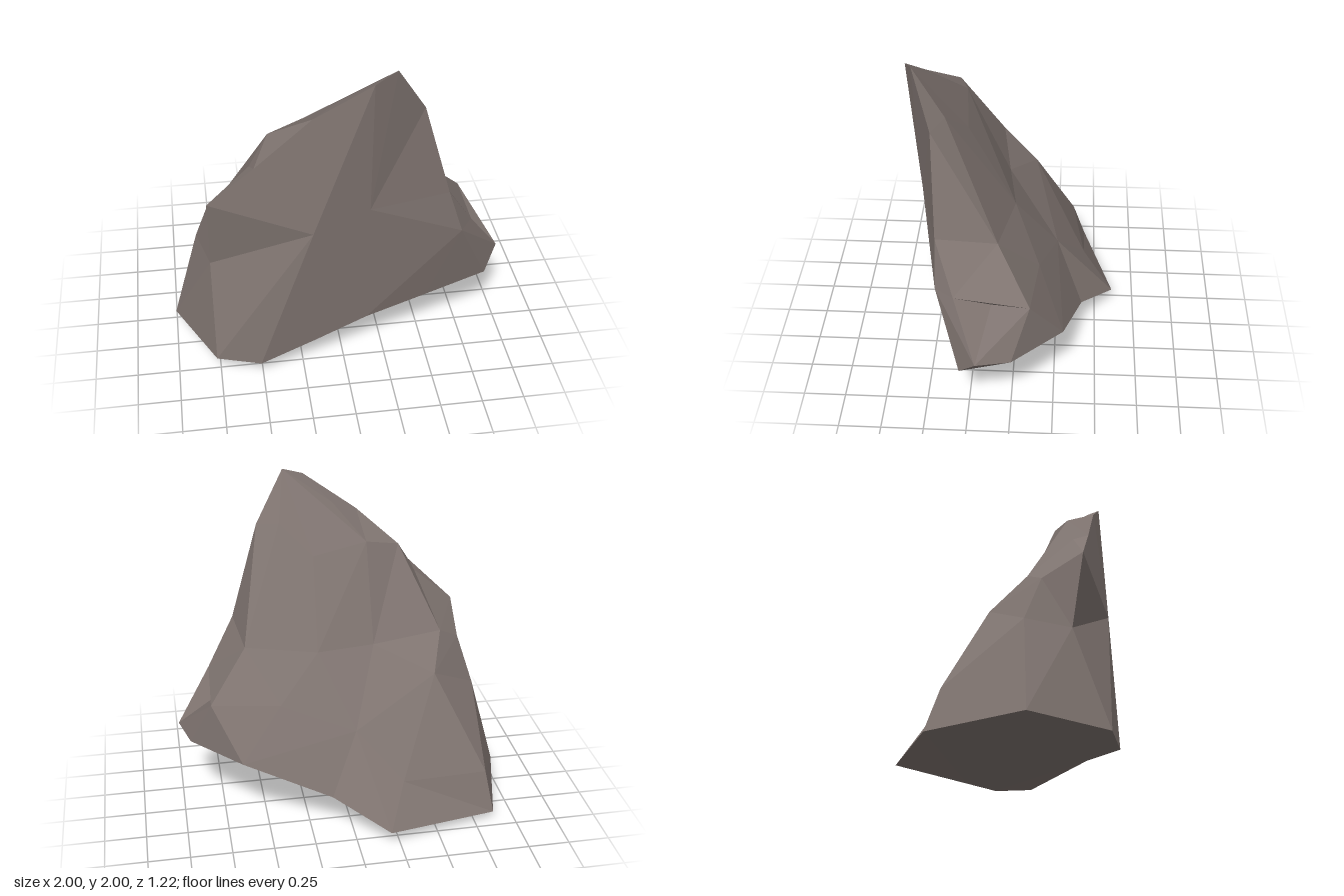
import * as THREE from 'three';
import { ConvexGeometry } from 'three/addons/geometries/ConvexGeometry.js';

// Corners of the boulder, grouped by the side they shape
const frontSlab = [
  [-0.77, 0.1, 0.53], [-0.51, 0.09, 0.6], [-0.18, 0.19, 0.547], [0.14, 0.29, 0.49],
  [0.52, 0.34, 0.393], [0.91, 0.39, 0.29],
  [-0.77, 1.14, 0.41], [-0.5, 1.4, 0.47], [-0.18, 1.73, 0.54], [0.14, 1.95, 0.61],
  [0.27, 2, 0.56], [0.45, 1.7, 0.45], [0.62, 1.11, 0.43], [0.71, 0.83, 0.43],
  [-0.19, 1.02, 0.605], [0.14, 1.12, 0.55],
];
const underside = [
  [-1, 0.12, 0.08], [-0.87, 0.05, -0.43], [-0.24, 0, -0.23], [0.08, 0.04, -0.05],
  [0.28, 0.11, 0.16], [-0.19, 0.1, -0.61], [0.13, 0.26, -0.41],
];
const rightFlank = [
  [1, 0.52, 0.19], [0.94, 0.5, -0.01], [0.65, 0.48, -0.3], [0.81, 0.79, -0.11],
  [0.58, 1.06, 0.08], [0.32, 1.72, 0.38], [0.74, 0.75, 0.11], [0.79, 0.83, 0.32],
];
const backAndLeft = [
  [-0.41, 1.55, 0.36], [-0.52, 1.36, 0.38], [-0.63, 1.06, 0.11], [-0.76, 0.98, 0.18],
  [-0.84, 0.7, 0.08], [-0.77, 0.68, 0.34], [-0.02, 1.8, 0.48], [-0.2, 1.6, 0.3],
  [0.13, 1.54, 0.27], [-0.2, 1.03, 0.05], [0.15, 1.03, 0], [-0.55, 0.875, -0.1],
  [0.4, 0.77, -0.15], [-0.04, 0.61, -0.25], [-0.83, 0.3, -0.35], [-0.3, 0.33, -0.42],
];

// Scales the distance from the core by a power, keeping the direction
const core = new THREE.Vector3(0, 0.6, 0.2);
function bulge(p, power) {
  p.sub(core);
  return p.setLength(Math.pow(p.length(), power)).add(core);
}

// Skins the corners in a rounded-out form, then returns them so hollows survive
function rockGeometry(corners, power) {
  const geometry = new ConvexGeometry(corners.map((c) => bulge(new THREE.Vector3(...c), power)));
  const position = geometry.attributes.position;
  const p = new THREE.Vector3();
  for (let i = 0; i < position.count; i++) {
    bulge(p.fromBufferAttribute(position, i), 1 / power);
    position.setXYZ(i, p.x, p.y, p.z);
  }
  geometry.computeVertexNormals();
  return geometry;
}

export function createModel() {
  const stone = new THREE.MeshStandardMaterial({ color: 0x7f7470, flatShading: true });
  stone.name = 'warm grey stone';
  const boulder = new THREE.Mesh(
    rockGeometry([...frontSlab, ...underside, ...rightFlank, ...backAndLeft], 0.2),
    stone,
  );
  boulder.name = 'boulder';
  const group = new THREE.Group();
  group.name = 'rock';
  group.add(boulder);
  return group;
}
